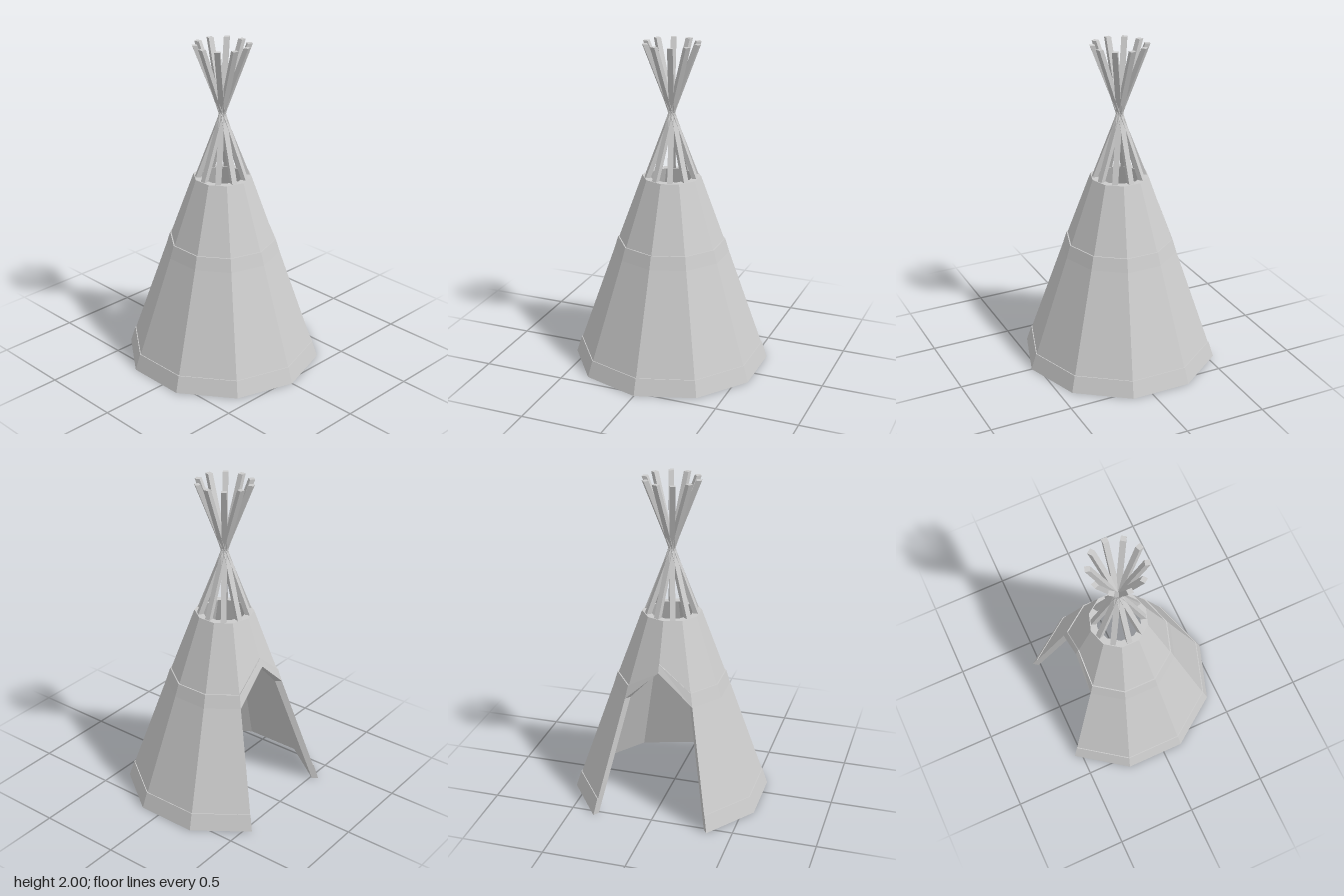
import * as THREE from 'three';

const SIDES = 10, CZ = -0.06;
const material = new THREE.MeshStandardMaterial({ color: 0xcccccc, flatShading: true });

// Place a list of [radius, height] points on one of the ten corner lines; corner 0 is at the back
function column(profile, k) {
  const a = (k / SIDES) * Math.PI * 2;
  return profile.map(([r, y]) => [r * Math.sin(a), y, CZ - r * Math.cos(a)]);
}

function meshFromTriangles(name, tris) {
  const geo = new THREE.BufferGeometry();
  geo.setAttribute('position', new THREE.Float32BufferAttribute(tris.flat(), 3));
  geo.computeVertexNormals();
  const mesh = new THREE.Mesh(geo, material);
  mesh.name = name;
  return mesh;
}

// Join edge j of two neighbouring columns with a quad
function addQuad(tris, A, B, j) {
  const n = (j + 1) % A.length;
  tris.push(A[j], A[n], B[n], A[j], B[n], B[j]);
}

// Lower cover: eight panels with a hem, open at the back for the doorway
function buildLowerCover() {
  const profile = [[0.6, 0], [0.568, 0.1], [0.563, 0.1], [0.352, 0.71], [0.31, 0.71], [0.56, 0]];
  const tris = [];
  for (let k = 1; k < SIDES - 1; k++) {
    const A = column(profile, k), B = column(profile, k + 1);
    for (const j of [0, 1, 2, 4, 5]) addQuad(tris, A, B, j);
  }
  // door jambs
  const first = column(profile, 1), last = column(profile, SIDES - 1);
  for (let j = 0; j < 4; j++) {
    tris.push(first[5], first[j + 1], first[j]);
    tris.push(last[5], last[j], last[j + 1]);
  }
  return meshFromTriangles('lowerCover', tris);
}

// Upper cover: overlapping band and cone, raised to a peak above the doorway
function buildUpperCover() {
  const profile = [[0.352, 0.71], [0.328, 0.79], [0.321, 0.79], [0.177, 1.19], [0.135, 1.19], [0.31, 0.71]];
  const peak = [[0.285, 0.905], [0.268, 0.955], [0.262, 0.955], [0.177, 1.19], [0.135, 1.19], [0.243, 0.905]];
  const at = (k) => column(k % SIDES === 0 ? peak : profile, k);
  const tris = [];
  for (let k = 0; k < SIDES; k++) {
    const A = at(k), B = at(k + 1);
    for (let j = 0; j < 5; j++) addQuad(tris, A, B, j);
    if (k === 0 || k === SIDES - 1) addQuad(tris, A, B, 5); // door lintel
  }
  return meshFromTriangles('upperCover', tris);
}

// Square poles, sheared so they cross on the axis and end level
function buildPoles() {
  const poles = new THREE.Group();
  poles.name = 'poles';
  const low = 1.17, high = 2, cross = 1.58, lean = 0.38;
  const geo = new THREE.BoxGeometry(0.03, high - low, 0.032);
  geo.translate(0, (high + low) / 2, 0);
  const p = geo.attributes.position;
  for (let i = 0; i < p.count; i++) p.setX(i, p.getX(i) + (p.getY(i) - cross) * lean);
  geo.computeVertexNormals();
  for (let i = 0; i < SIDES; i++) {
    const pole = new THREE.Mesh(geo, material);
    pole.name = 'pole';
    pole.position.z = CZ;
    pole.rotation.y = (i / SIDES) * Math.PI * 2;
    poles.add(pole);
  }
  return poles;
}

export function createModel() {
  const tent = new THREE.Group();
  tent.name = 'poleTent';
  tent.add(buildLowerCover(), buildUpperCover(), buildPoles());
  return tent;
}
